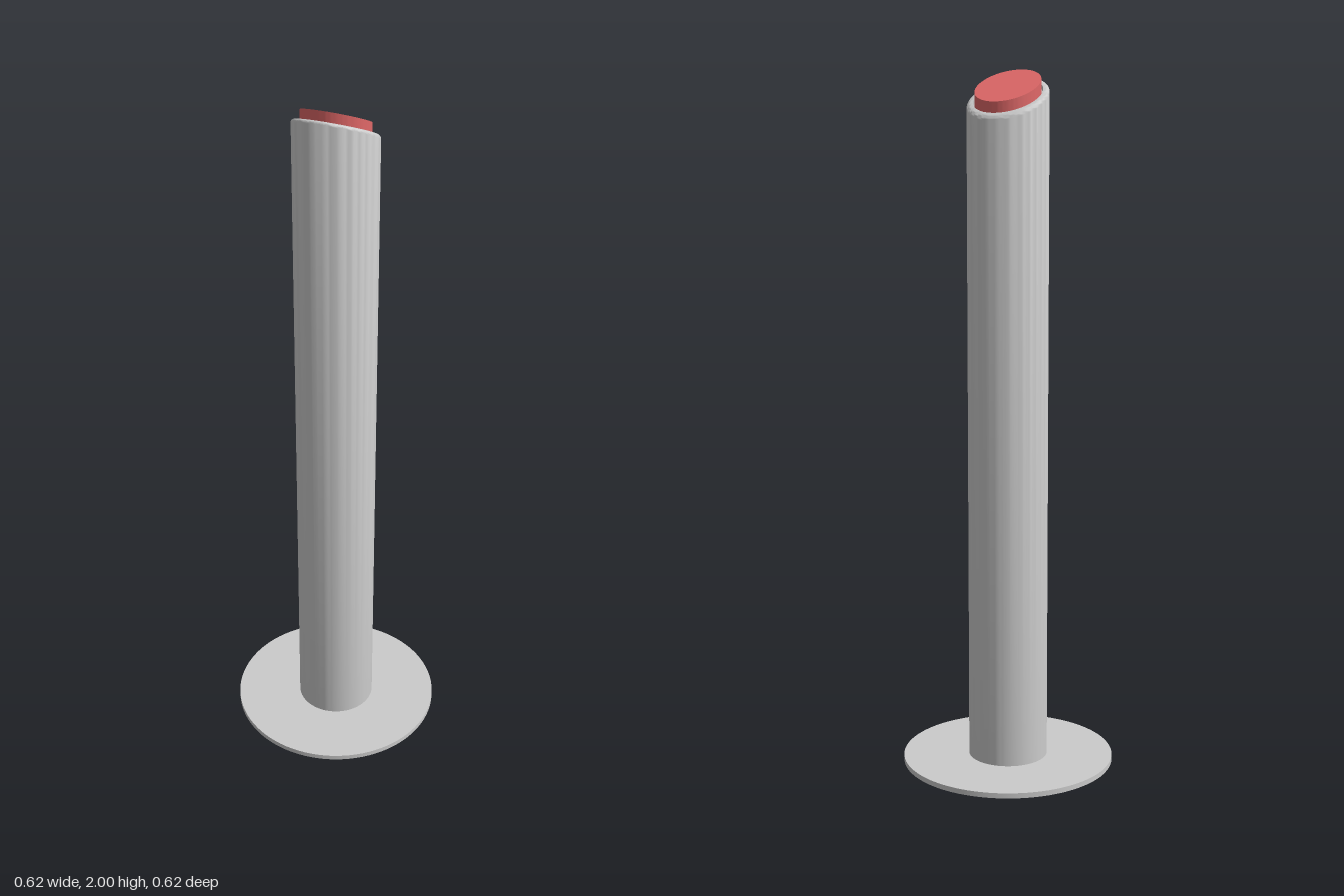
import * as THREE from 'three';
import { toCreasedNormals } from 'three/addons/utils/BufferGeometryUtils.js';

const SLOPE = 0.51; // rise of the slanted top towards the front

// Revolve a profile, tilting everything in the upper part along the slant
function turned(name, profile, color) {
  const points = profile.map(([r, y]) => new THREE.Vector2(r, y));
  const geometry = new THREE.LatheGeometry(points, 96);
  const pos = geometry.attributes.position;
  for (let i = 0; i < pos.count; i++) {
    if (pos.getY(i) > 1) pos.setY(i, pos.getY(i) + SLOPE * pos.getZ(i));
  }
  const mesh = new THREE.Mesh(
    toCreasedNormals(geometry, Math.PI / 5),
    new THREE.MeshStandardMaterial({ color })
  );
  mesh.name = name;
  return mesh;
}

export function createModel() {
  const group = new THREE.Group();
  group.name = 'bollard';

  // Thin round foot plate
  group.add(turned('basePlate', [[0, 0], [0.308, 0], [0.308, 0.015], [0, 0.015]], 0xcccccc));

  // Post with a rounded rim around a shallow recess
  const post = [[0.115, 0.01]];
  const fillet = 0.012;
  for (let i = 0; i <= 6; i++) {
    const a = (i / 6) * Math.PI / 2;
    post.push([0.115 - fillet + fillet * Math.cos(a), 1.925 - fillet + fillet * Math.sin(a)]);
  }
  post.push([0.097, 1.925], [0.097, 1.912], [0, 1.912]);
  group.add(turned('post', post, 0xcccccc));

  // Coloured cap set into the recess
  const cap = turned('cap', [[0, 1.905], [0.0925, 1.905], [0.0925, 1.953], [0, 1.953]], 0xe06868);
  cap.position.z = -0.001;
  group.add(cap);

  return group;
}
